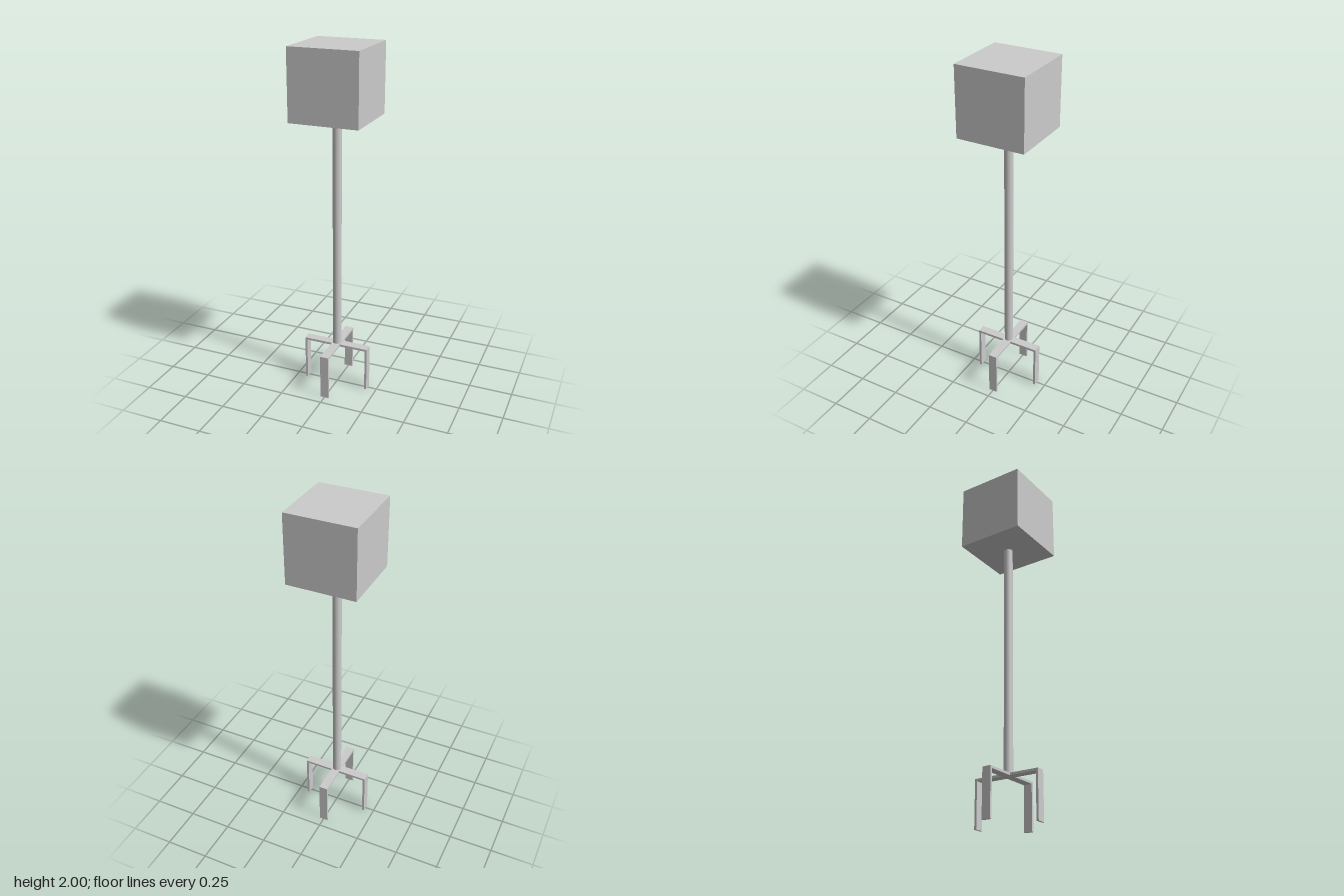
import * as THREE from 'three';

export function createModel() {
  const model = new THREE.Group();
  const material = new THREE.MeshStandardMaterial({ color: 0xcccccc });
  const add = (name, geometry, y, parent = model) => {
    const mesh = new THREE.Mesh(geometry, material);
    mesh.name = name;
    mesh.position.y = y;
    parent.add(mesh);
    return mesh;
  };

  const half = 0.195;    // half width of head and base
  const baseTop = 0.265;
  const strip = 0.05;    // width of the flat base strips
  const thick = 0.013;   // thickness of the strips
  const headSize = half * 2;
  const headBottom = 2 - headSize;

  // Cube head on a round pole
  add('head', new THREE.BoxGeometry(headSize, headSize, headSize), 2 - half);
  const poleLength = headBottom - baseTop;
  add('pole', new THREE.CylinderGeometry(strip / 2, strip / 2, poleLength, 32), baseTop + poleLength / 2);

  // Flat hub where the four base strips meet
  add('baseHub', new THREE.BoxGeometry(strip, thick, strip), baseTop - thick / 2);

  // Bent flat legs: out along the top, then straight down to the ground
  const profile = new THREE.Shape([
    [strip / 2, baseTop], [strip / 2, baseTop - thick], [half - thick, baseTop - thick],
    [half - thick, 0], [half, 0], [half, baseTop],
  ].map(([x, y]) => new THREE.Vector2(x, y)));
  const legGeometry = new THREE.ExtrudeGeometry(profile, { depth: strip, bevelEnabled: false });
  legGeometry.translate(0, 0, -strip / 2);
  ['leftLeg', 'backLeg', 'rightLeg', 'frontLeg'].forEach((name, i) => {
    add(name, legGeometry, 0).rotation.y = i * Math.PI / 2;
  });

  return model;
}
